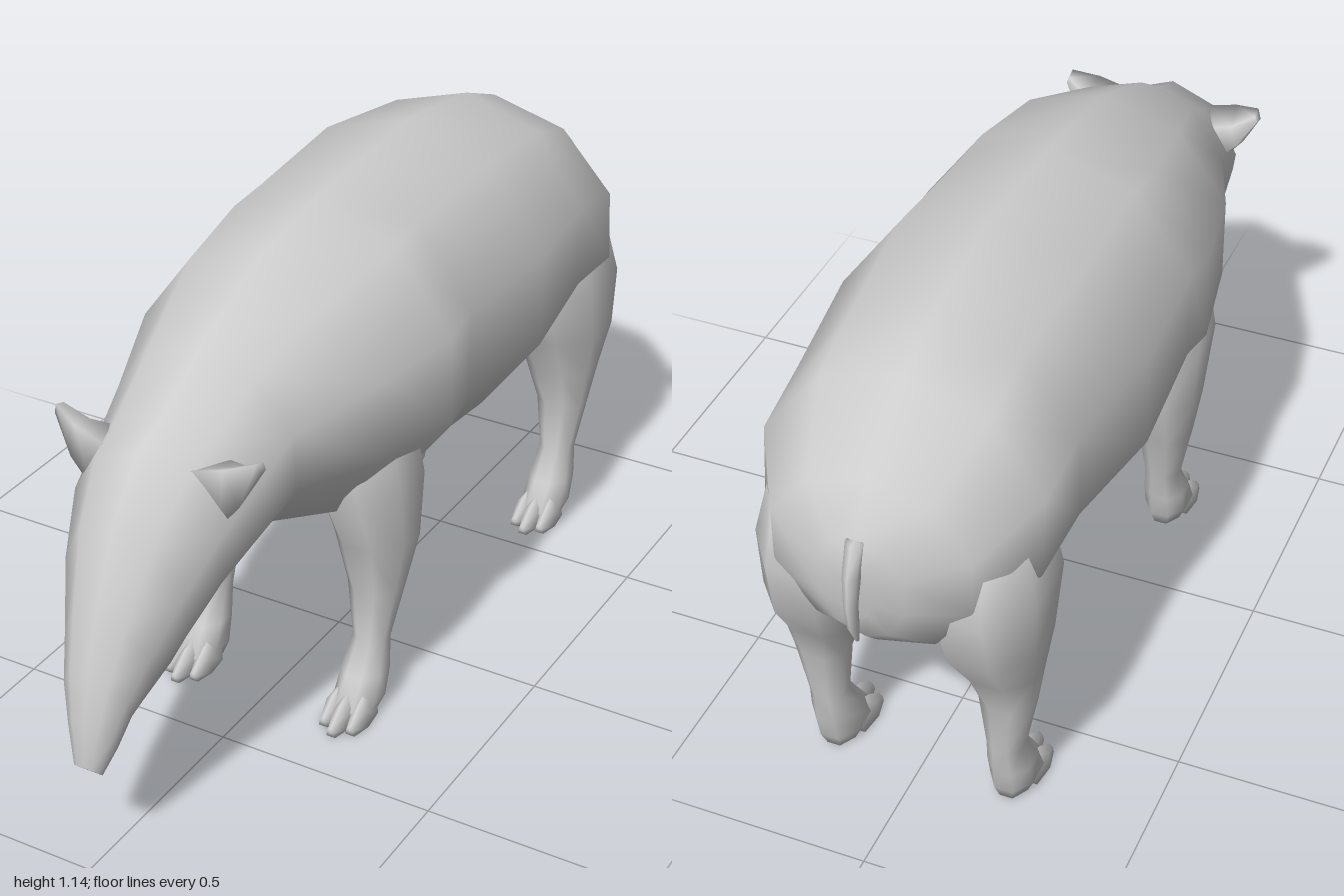
import * as THREE from 'three';

const hide = new THREE.MeshStandardMaterial({ color: 0xcccccc });
hide.name = 'greyHide';

// Skin a list of rings (equal point counts) into a closed smooth mesh, facing outward.
function loft(name, rings) {
  const n = rings[0].length, pos = [], idx = [];
  rings.forEach(r => r.forEach(p => pos.push(...p)));
  for (let i = 0; i < rings.length - 1; i++)
    for (let j = 0; j < n; j++) {
      const a = i * n + j, b = i * n + (j + 1) % n;
      idx.push(a, b, a + n, b, b + n, a + n);
    }
  [0, rings.length - 1].forEach((k, end) => {
    const c = pos.length / 3;
    pos.push(...[0, 1, 2].map(d => rings[k].reduce((s, p) => s + p[d], 0) / n));
    for (let j = 0; j < n; j++) {
      const a = k * n + j, b = k * n + (j + 1) % n;
      idx.push(...(end ? [a, b, c] : [b, a, c]));
    }
  });
  // A negative volume means the winding is inside out
  const v = i => new THREE.Vector3().fromArray(pos, i * 3);
  let volume = 0;
  for (let i = 0; i < idx.length; i += 3)
    volume += v(idx[i]).dot(v(idx[i + 1]).cross(v(idx[i + 2])));
  if (volume < 0) idx.reverse();
  const g = new THREE.BufferGeometry();
  g.setAttribute('position', new THREE.Float32BufferAttribute(pos, 3));
  g.setIndex(idx);
  g.computeVertexNormals();
  const mesh = new THREE.Mesh(g, hide);
  mesh.name = name;
  return mesh;
}

// Ten-sided trunk section between a top and a bottom point; jaw narrows the lower half.
function trunkRing([zt, yt, zb, yb, w, jaw = 0]) {
  const half = [[0, 0], [0.6, 0.09], [1, 0.35], [1 - 0.15 * jaw, 0.66], [0.6 - 0.15 * jaw, 0.92], [0, 1]];
  const all = [...half, ...half.slice(1, 5).reverse().map(([x, t]) => [-x, t])];
  return all.map(([x, t]) => [x * w, yt + (yb - yt) * t, zt + (zb - zt) * t]);
}

// Horizontal eight-sided leg section from its bounds.
function legRing(side, [y, x0, x1, z0, z1]) {
  return Array.from({ length: 8 }, (_, i) => {
    const a = (i + 0.5) * Math.PI / 4;
    const c = Math.cos(a) / 0.924, s = Math.sin(a) / 0.924;
    return [side * ((x0 + x1) / 2 + c * (x1 - x0) / 2), y, (z0 + z1) / 2 + s * (z1 - z0) / 2];
  });
}

function makeLeg(name, side, sections, toeZ) {
  const leg = new THREE.Group();
  leg.name = name;
  leg.add(loft(name + 'Limb', sections.map(s => legRing(side, s))));
  // Three splayed toes
  [-1, 0, 1].forEach(k => {
    const x = side * 0.2 + k * 0.033, z = toeZ - Math.abs(k) * 0.025;
    const ring = (cx, cz, w, h) => [[-w, 0.004], [-w * 0.8, h * 0.7], [0, h], [w * 0.8, h * 0.7], [w, 0.004]]
      .map(([dx, y]) => [cx + dx, y, cz]);
    leg.add(loft(name + 'Toe', [
      ring(x - k * 0.008, z - 0.1, 0.022, 0.085),
      ring(x, z - 0.045, 0.021, 0.062),
      ring(x, z, 0.011, 0.025),
    ]));
  });
  return leg;
}

export function createModel() {
  const model = new THREE.Group();
  model.name = 'tapir';

  // Trunk, neck, head and drooping snout: top z, top y, bottom z, bottom y, half width, jaw
  model.add(loft('body', [
    [-0.965, 0.78, -0.95, 0.64, 0.03],
    [-0.95, 0.84, -0.935, 0.58, 0.09],
    [-0.89, 0.935, -0.89, 0.53, 0.21],
    [-0.72, 1.05, -0.78, 0.5, 0.295],
    [-0.58, 1.105, -0.58, 0.49, 0.3],
    [-0.3, 1.145, -0.3, 0.44, 0.337],
    [0, 1.125, 0, 0.46, 0.317],
    [0.1, 1.115, 0.1, 0.44, 0.325],
    [0.31, 1.08, 0.31, 0.48, 0.288],
    [0.55, 0.975, 0.5, 0.56, 0.205],
    [0.68, 0.89, 0.62, 0.5, 0.186, 0.4],
    [0.77, 0.855, 0.69, 0.44, 0.172, 0.8],
    [0.86, 0.74, 0.77, 0.365, 0.14, 1],
    [0.93, 0.58, 0.84, 0.325, 0.1, 1],
    [0.97, 0.46, 0.9, 0.31, 0.075, 0.6],
    [0.99, 0.36, 0.935, 0.265, 0.052],
    [1, 0.26, 0.968, 0.228, 0.03],
  ].map(trunkRing)));

  // Legs: y, inner x, outer x, back z, front z
  const front = [
    [0.74, 0.1, 0.27, 0.1, 0.32], [0.58, 0.08, 0.295, 0.08, 0.33],
    [0.42, 0.115, 0.285, 0.1, 0.27], [0.3, 0.15, 0.265, 0.14, 0.255],
    [0.17, 0.163, 0.24, 0.17, 0.245], [0.1, 0.155, 0.25, 0.18, 0.29],
    [0.04, 0.152, 0.25, 0.19, 0.33], [0.005, 0.165, 0.235, 0.205, 0.32],
  ];
  const hind = [
    [0.78, 0.1, 0.27, -0.86, -0.58], [0.64, 0.05, 0.3, -0.9, -0.56],
    [0.5, 0.08, 0.295, -0.87, -0.62], [0.4, 0.115, 0.28, -0.81, -0.66],
    [0.3, 0.15, 0.265, -0.775, -0.68], [0.17, 0.163, 0.24, -0.765, -0.685],
    [0.1, 0.155, 0.25, -0.755, -0.64], [0.04, 0.152, 0.25, -0.745, -0.6],
    [0.005, 0.165, 0.235, -0.73, -0.61],
  ];
  [1, -1].forEach(side => {
    const label = side > 0 ? 'Left' : 'Right';
    model.add(makeLeg('front' + label + 'Leg', side, front, 0.383));
    model.add(makeLeg('hind' + label + 'Leg', side, hind, -0.548));

    // Pointed ears sweeping outward
    const ear = [
      [[0.1, 0.83, 0.74], [0.15, 0.71, 0.72], [0.15, 0.75, 0.63], [0.11, 0.82, 0.65]],
      [[0.17, 0.85, 0.735], [0.195, 0.765, 0.72], [0.195, 0.785, 0.66], [0.18, 0.83, 0.67]],
      [[0.23, 0.868, 0.71], [0.238, 0.845, 0.705], [0.235, 0.845, 0.685], [0.23, 0.86, 0.685]],
    ];
    model.add(loft('ear' + label, ear.map(r => r.map(([x, y, z]) => [side * x, y, z]))));
  });

  // Short hanging tail
  const tail = [
    [0.835, -0.945, 0.025], [0.77, -0.972, 0.022], [0.7, -0.983, 0.017],
    [0.64, -0.978, 0.014], [0.595, -0.965, 0.005],
  ];
  model.add(loft('tail', tail.map(([y, z, r]) =>
    Array.from({ length: 6 }, (_, i) => {
      const a = i * Math.PI / 3;
      return [r * 0.8 * Math.sin(a), y, z + r * Math.cos(a)];
    }))));

  return model;
}
